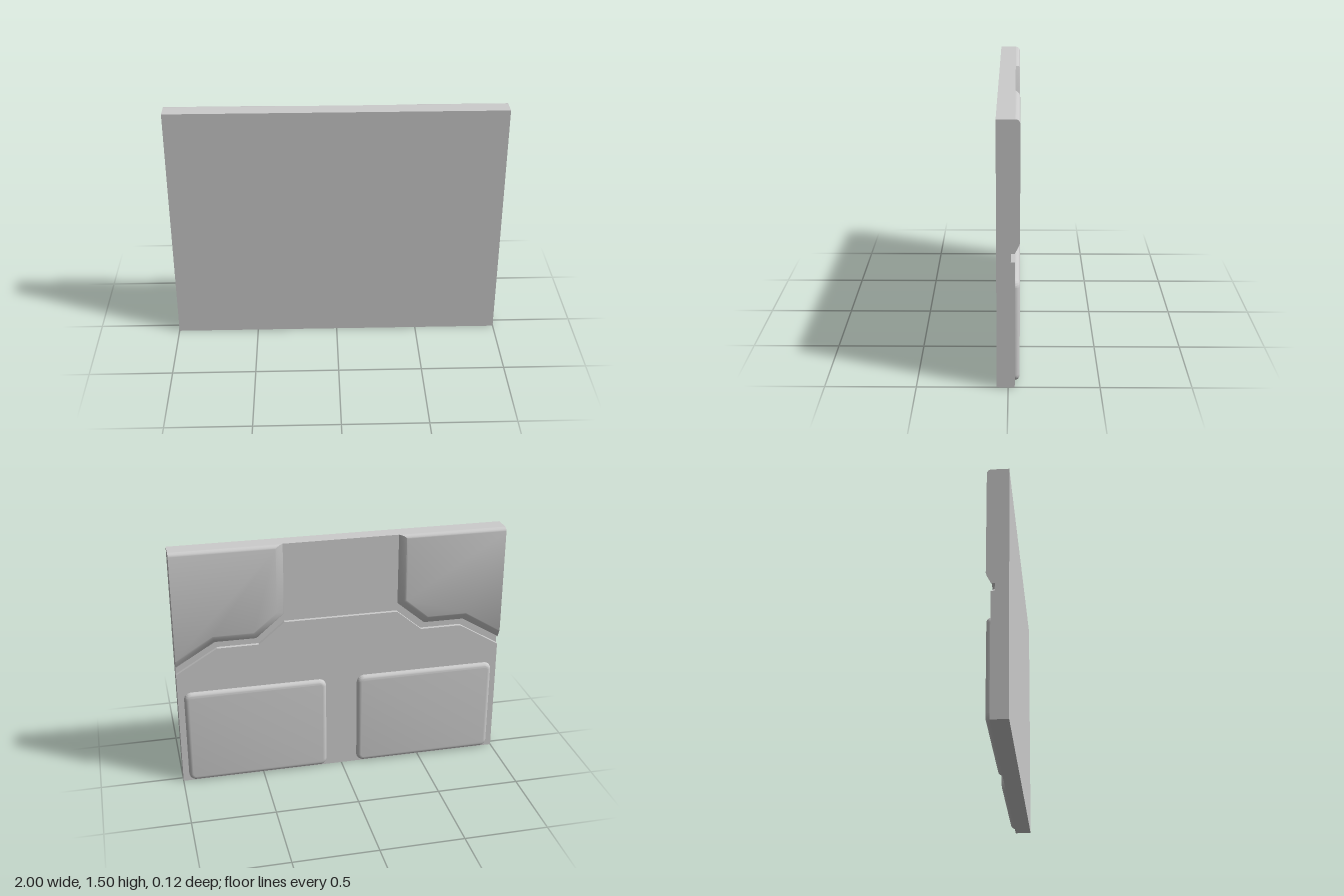
import * as THREE from 'three';
import { toCreasedNormals } from 'three/addons/utils/BufferGeometryUtils.js';

const HEIGHT = 1.5;
const FRONT = 0.0625, GROOVE = -0.014, FACE = -0.036, RAISED = -0.0625; // z levels
const material = new THREE.MeshStandardMaterial({ color: 0xcccccc });

// Half of the stepped line across the back, from the middle outwards
const STEP = [[0.345, 1.01], [0.5, 0.88], [0.75, 0.88], [1, 0.73]];

const v = ([x, y]) => new THREE.Vector2(x, y);

// Edge kinds of an outline: cut side, top, or any other
function edgeKind(a, b) {
  if (Math.abs(a.x) > 0.999 && Math.abs(b.x) > 0.999) return 'side';
  if (a.y > HEIGHT - 0.001 && b.y > HEIGHT - 0.001) return 'top';
  return Math.abs(a.x - b.x) < 0.001 ? 'inner' : 'step';
}

// Moves each edge of a counter-clockwise outline inwards by its own distance
function inset(points, distance) {
  const n = points.length;
  const lines = points.map((a, i) => {
    const b = points[(i + 1) % n];
    const d = b.clone().sub(a).normalize();
    const o = a.clone().addScaledVector(new THREE.Vector2(-d.y, d.x), distance(edgeKind(a, b)));
    return { o, d };
  });
  return lines.map((line, i) => {
    const prev = lines[(i + n - 1) % n];
    const t = line.o.clone().sub(prev.o).cross(line.d) / prev.d.cross(line.d);
    return prev.o.clone().addScaledVector(prev.d, t);
  });
}

function addMesh(group, name, geometry) {
  const mesh = new THREE.Mesh(geometry, material);
  mesh.name = name;
  group.add(mesh);
  return mesh;
}

// Flat slab between the groove floor and the back face
function slab(points) {
  const geometry = new THREE.ExtrudeGeometry(new THREE.Shape(points), {
    depth: GROOVE - FACE, bevelEnabled: false,
  });
  return geometry.translate(0, 0, FACE);
}

// Raised pad: sloped along the step and inner edge, rounded at the top, cut flat at the side
function upperPad(sign) {
  let outline = [[0.345, HEIGHT], ...STEP, [1, HEIGHT]].map(([x, y]) => v([x * sign, y]));
  if (sign < 0) outline.reverse();
  outline = inset(outline, (kind) => (kind === 'step' ? 0.044 : 0));

  const rings = [];
  const steps = 8;
  for (let k = 0; k <= steps; k++) {
    const a = (k / steps) * Math.PI / 2;
    const rise = Math.sin(a), round = 1 - Math.cos(a);
    const slope = 0.038 * rise + 0.012 * round;
    const ring = inset(outline, (kind) => (kind === 'side' ? 0 : kind === 'top' ? 0.026 * round : slope));
    const z = FACE + (RAISED - FACE) * rise;
    rings.push(ring.map((p) => [p.x, p.y, z]));
  }

  const positions = [];
  const n = outline.length;
  for (let k = 0; k < steps; k++) {
    for (let i = 0; i < n; i++) {
      const j = (i + 1) % n;
      const a0 = rings[k][i], b0 = rings[k][j], a1 = rings[k + 1][i], b1 = rings[k + 1][j];
      positions.push(...a0, ...a1, ...b1, ...a0, ...b1, ...b0);
    }
  }
  const cap = rings[steps];
  for (const [a, b, c] of THREE.ShapeUtils.triangulateShape(cap.map(v), [])) {
    positions.push(...cap[a], ...cap[c], ...cap[b]);
  }
  const geometry = new THREE.BufferGeometry();
  geometry.setAttribute('position', new THREE.Float32BufferAttribute(positions, 3));
  return toCreasedNormals(geometry, 0.5);
}

// Rounded rectangular pad with a rounded rim; its lower half is sunk in the panel
function lowerPad(sign) {
  const rim = RAISED - FACE;
  const w = 0.866 + 2 * rim, h = 0.6 + 2 * rim, r = 0.018;
  const x = w / 2, y = h / 2;
  const shape = new THREE.Shape();
  shape.absarc(x - r, y - r, r, 0, Math.PI / 2);
  shape.absarc(-x + r, y - r, r, Math.PI / 2, Math.PI);
  shape.absarc(-x + r, -y + r, r, Math.PI, Math.PI * 1.5);
  shape.absarc(x - r, -y + r, r, Math.PI * 1.5, Math.PI * 2);
  const geometry = new THREE.ExtrudeGeometry(shape, {
    depth: 0.01, bevelThickness: -rim, bevelSize: -rim, bevelSegments: 6, curveSegments: 8,
  });
  geometry.translate(sign * 0.53, 0.308, FACE);
  return toCreasedNormals(geometry, 0.5);
}

export function createModel() {
  const group = new THREE.Group();
  group.name = 'panel';

  // Solid front panel, its back forming the groove floor
  const core = addMesh(group, 'frontPanel', new THREE.BoxGeometry(2, HEIGHT, FRONT - GROOVE));
  core.position.set(0, HEIGHT / 2, (FRONT + GROOVE) / 2);

  // Back face, split by the stepped groove
  const path = [...STEP.map(([x, y]) => [-x, y]).reverse(), ...STEP].map(v);
  const below = [v([-1, 0]), v([1, 0]), ...path.slice().reverse()];
  const above = inset([...path, v([1, HEIGHT]), v([-1, HEIGHT])],
    (kind) => (kind === 'step' ? 0.04 : 0));
  addMesh(group, 'lowerBackFace', slab(below));
  addMesh(group, 'upperBackFace', slab(above));

  // Raised pads on both sides
  for (const [side, sign] of [['left', 1], ['right', -1]]) {
    addMesh(group, `${side}UpperPad`, upperPad(sign));
    addMesh(group, `${side}LowerPad`, lowerPad(sign));
  }
  return group;
}
